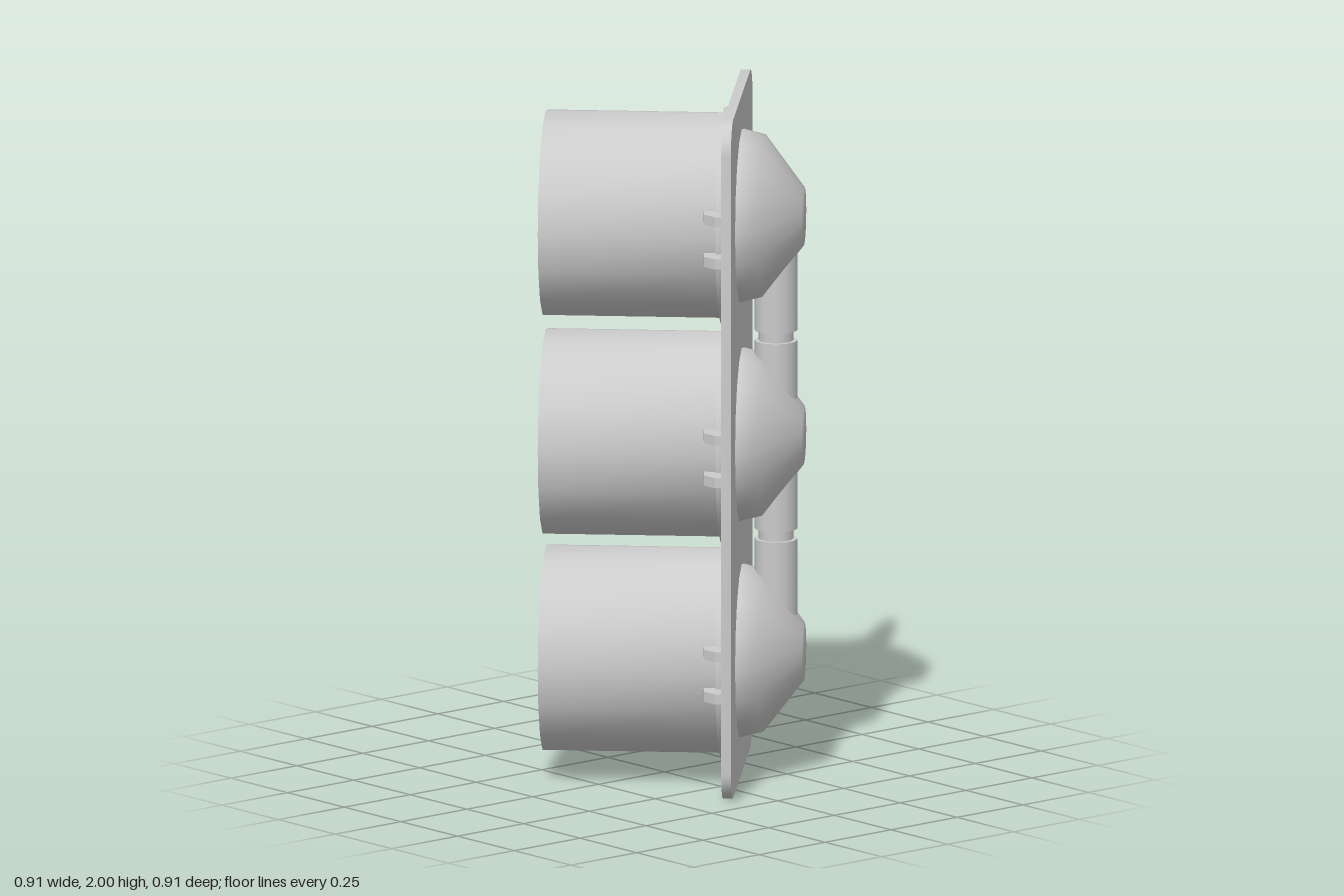
import * as THREE from 'three';
import { toCreasedNormals } from 'three/addons/utils/BufferGeometryUtils.js';

const material = new THREE.MeshStandardMaterial({ color: 0xcccccc });

function addMesh(parent, name, geometry) {
  const mesh = new THREE.Mesh(geometry, material);
  mesh.name = name;
  parent.add(mesh);
  return mesh;
}

// Turned part whose axis runs along z; profile is a list of [radius, z]
function turned(profile, crease) {
  const points = profile.map(([r, z]) => new THREE.Vector2(r, z));
  const geometry = new THREE.LatheGeometry(points, 16).rotateX(Math.PI / 2);
  return crease ? toCreasedNormals(geometry, 0.6) : geometry;
}

// Hollow ring with a rectangular section
function ring(inner, outer, z0, z1) {
  return turned([[outer, z0], [outer, z1], [inner, z1], [inner, z0], [outer, z0]], true);
}

function plateGeometry(w, h, r, depth) {
  const s = new THREE.Shape();
  const x = w / 2;
  s.moveTo(-x + r, 0);
  s.lineTo(x - r, 0);
  s.absarc(x - r, r, r, -Math.PI / 2, 0);
  s.absarc(x - r, h - r, r, 0, Math.PI / 2);
  s.absarc(-x + r, h - r, r, Math.PI / 2, Math.PI);
  s.absarc(-x + r, r, r, Math.PI, Math.PI * 1.5);
  const geometry = new THREE.ExtrudeGeometry(s, { depth, bevelEnabled: false, curveSegments: 4 });
  return toCreasedNormals(geometry, 0.6);
}

// Chamfered clip, drawn in plan and centred on its own height
function clipGeometry(thickness) {
  const s = new THREE.Shape([
    [0.29, 0.135], [0.339, 0.14], [0.371, 0.173], [0.371, 0.198], [0.29, 0.198],
  ].map(([x, z]) => new THREE.Vector2(x, z)));
  return new THREE.ExtrudeGeometry(s, { depth: thickness, bevelEnabled: false })
    .translate(0, 0, -thickness / 2)
    .rotateX(Math.PI / 2);
}

export function createModel() {
  const model = new THREE.Group();
  model.name = 'signalLight';

  // Everything is built along z, then the whole head is turned by 45 degrees
  const head = new THREE.Group();
  head.name = 'signalHead';
  head.rotation.y = Math.PI / 4;
  model.add(head);

  // Backing plate
  addMesh(head, 'backPlate', plateGeometry(0.828, 2, 0.09, 0.028)).position.z = 0.195;

  // Three lamps, each with visor, flange, lens, housing and clips
  const visor = ring(0.285, 0.3, -0.343, 0.195);
  const flange = ring(0.29, 0.317, 0.171, 0.195);
  const lens = turned([[0, 0.16], [0.1, 0.163], [0.2, 0.174], [0.29, 0.192]]);
  const housing = turned([[0.255, 0.21], [0.254, 0.223], [0.238, 0.286], [0.085, 0.403], [0, 0.403]]);
  const clip = clipGeometry(0.03);
  const centres = [0.362, 1.0, 1.645];

  for (const y of centres) {
    const lamp = new THREE.Group();
    lamp.name = 'lamp';
    lamp.position.y = y;
    head.add(lamp);
    addMesh(lamp, 'visor', visor);
    addMesh(lamp, 'visorFlange', flange);
    addMesh(lamp, 'lens', lens);
    addMesh(lamp, 'rearHousing', housing);
    for (const side of [0, Math.PI]) {
      for (const dy of [-0.062, 0.062]) {
        const c = addMesh(lamp, 'clip', clip);
        c.position.y = dy;
        c.rotation.z = side;
      }
    }
  }

  // Cable pipes joining the housings, each in two lengths around a thin neck
  function pipe(name, radius, y0, y1) {
    const geometry = new THREE.CylinderGeometry(radius, radius, y1 - y0, 12);
    addMesh(head, name, geometry).position.set(0, (y0 + y1) / 2, 0.322);
  }
  for (let i = 0; i < 2; i++) {
    const joint = i === 0 ? 0.71 : 1.295;
    pipe('lowerPipe', 0.0625, centres[i] + 0.09, joint - 0.015);
    pipe('pipeNeck', 0.05, joint - 0.03, joint + 0.03);
    pipe('upperPipe', 0.0625, joint + 0.015, centres[i + 1] - 0.09);
  }

  return model;
}
